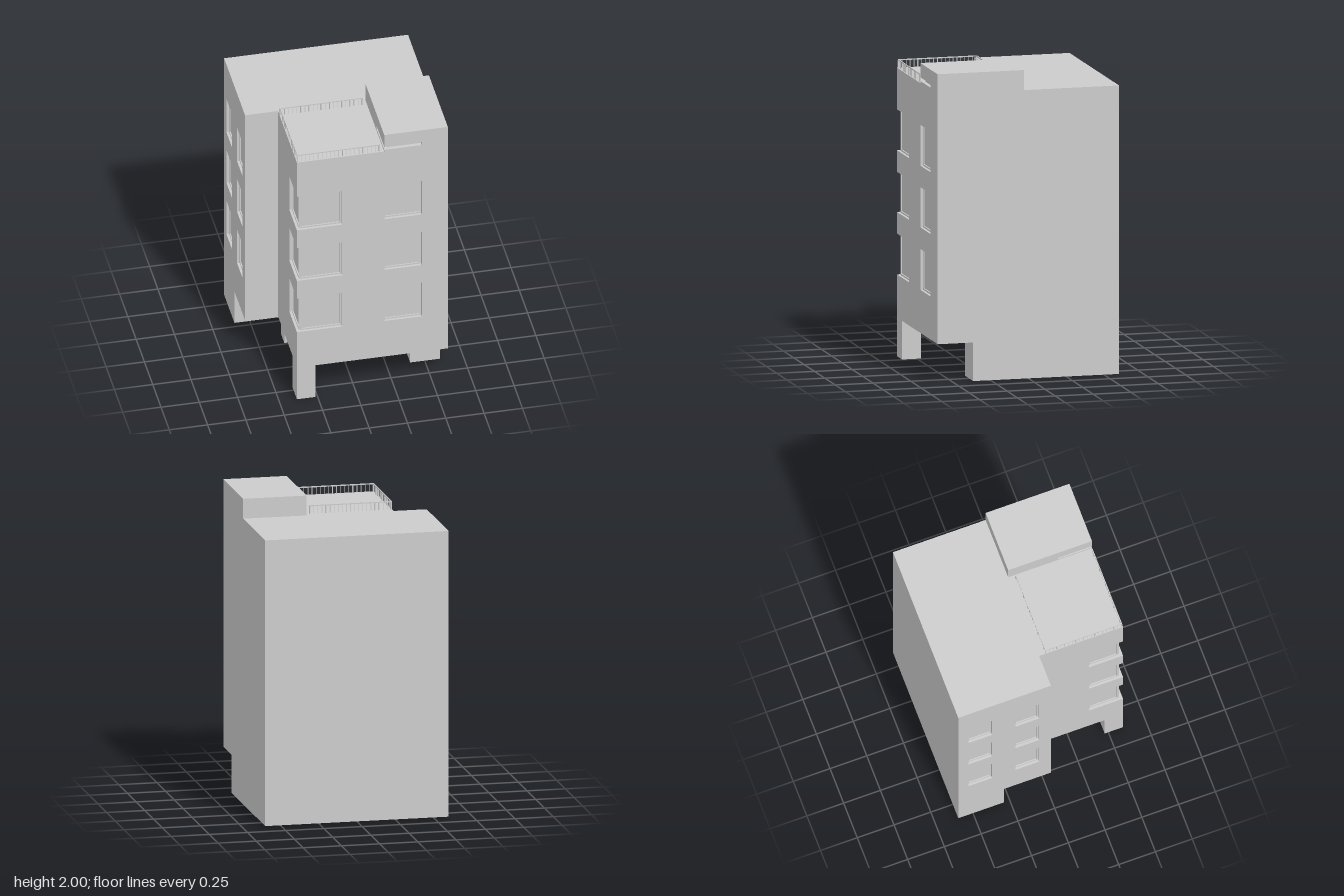
import * as THREE from 'three';

const material = new THREE.MeshStandardMaterial({ color: 0xcccccc, flatShading: true });
const ROOF = 1.87, TOP = 2, SOFFIT = 0.25;
const ROWS = [[0.53, 0.795], [0.935, 1.195], [1.335, 1.6]];
const D = 0.025; // window recess depth

function add(group, geometry, name) {
  const mesh = new THREE.Mesh(geometry, material);
  mesh.name = name;
  group.add(mesh);
  return mesh;
}

// Upright prism from a plan outline of [x, z] points
function storey(group, name, plan, y0, y1) {
  const shape = new THREE.Shape(plan.map(([x, z]) => new THREE.Vector2(x, -z)));
  const geometry = new THREE.ExtrudeGeometry(shape, { depth: y1 - y0, bevelEnabled: false });
  geometry.rotateX(-Math.PI / 2).translate(0, y0, 0);
  return add(group, geometry, name);
}

// Box given by its limits
function block(group, name, x0, x1, y0, y1, z0, z1) {
  const geometry = new THREE.BoxGeometry(x1 - x0, y1 - y0, z1 - z0);
  geometry.translate((x0 + x1) / 2, (y0 + y1) / 2, (z0 + z1) / 2);
  return add(group, geometry, name);
}

// Plan of a solid band, and of a band recessed at its windows
const SOLID = [[-0.6, -0.6], [0.6, -0.6], [0.6, 0.6], [-0.385, 0.6], [-0.385, 0.03], [-0.6, 0.03]];
const SIDE_WINDOWS = [[-0.53, -0.37], [-0.21, -0.05]];
const WINDOWED = [
  [-0.6, -0.6], [0.6, -0.6], [0.6, 0.6],
  [0.43, 0.6], [0.43, 0.6 - D], [0.185, 0.6 - D], [0.185, 0.6],
  [-0.09, 0.6], [-0.09, 0.6 - D], [-0.385 + D, 0.6 - D], [-0.385 + D, 0.37], [-0.385, 0.37],
  [-0.385, 0.03], [-0.6, 0.03],
  ...SIDE_WINDOWS.slice().reverse().flatMap(([a, b]) =>
    [[-0.6, b], [-0.6 + D, b], [-0.6 + D, a], [-0.6, a]]),
];

// Thin rim round a recessed pane; u runs along x (front) or z (side)
function windowFrame(group, axis, u0, u1, y0, y1, wall) {
  const w = 0.01, t = 0.008;
  const frame = new THREE.Group();
  frame.name = 'windowFrame';
  const bar = (a, b, c, d) => axis === 'x'
    ? block(frame, 'frameBar', a, b, c, d, wall, wall + t)
    : block(frame, 'frameBar', wall - t, wall, c, d, a, b);
  bar(u0, u0 + w, y0, y1);
  bar(u1 - w, u1, y0, y1);
  bar(u0 + w, u1 - w, y0, y0 + w);
  bar(u0 + w, u1 - w, y1 - w, y1);
  group.add(frame);
}

// Straight run of railing: top rail, posts and thin balusters
function railing(group, name, start, end) {
  const run = new THREE.Group();
  run.name = name;
  const length = Math.hypot(end[0] - start[0], end[1] - start[1]);
  const rail = add(run, new THREE.BoxGeometry(length + 0.006, 0.007, 0.006), 'topRail');
  rail.position.set((start[0] + end[0]) / 2, 1.9215, (start[1] + end[1]) / 2);
  rail.rotation.y = -Math.atan2(end[1] - start[1], end[0] - start[0]);
  const count = 20;
  for (let i = 0; i <= count; i++) {
    const f = i / count, w = i % 5 === 0 ? 0.007 : 0.0035;
    const bar = add(run, new THREE.BoxGeometry(w, 0.05, w), i % 5 === 0 ? 'post' : 'baluster');
    bar.position.set(start[0] + (end[0] - start[0]) * f, ROOF + 0.025, start[1] + (end[1] - start[1]) * f);
  }
  group.add(run);
}

export function createModel() {
  const model = new THREE.Group();
  model.name = 'apartmentBuilding';

  // Open ground floor: back block with side wall, dividing wall, corner pillar
  storey(model, 'groundFloor', [
    [-0.6, -0.6], [0.6, -0.6], [0.6, 0.365], [0.405, 0.365], [0.405, -0.29], [-0.6, -0.29],
  ], 0, SOFFIT);
  block(model, 'dividingWall', -0.335, 0.405, 0, SOFFIT, -0.11, -0.01);
  block(model, 'cornerPillar', -0.385, -0.262, 0, SOFFIT, 0.475, 0.6);

  // Upper floors: solid bands alternating with window bands
  let y = SOFFIT;
  for (const [y0, y1] of ROWS) {
    storey(model, 'wallBand', SOLID, y, y0);
    storey(model, 'windowBand', WINDOWED, y0, y1);
    windowFrame(model, 'x', 0.185, 0.43, y0, y1, 0.6 - D);
    windowFrame(model, 'x', -0.385 + D, -0.09, y0, y1, 0.6 - D);
    windowFrame(model, 'z', 0.37, 0.6 - D, y0, y1, -0.385 + D);
    for (const [a, b] of SIDE_WINDOWS) windowFrame(model, 'z', a, b, y0, y1, -0.6 + D);
    y = y1;
  }
  storey(model, 'wallBand', SOLID, y, ROOF);

  // Roof room with a slit window wrapping its terrace corner
  const room = [[0.185, 0.03], [0.6, 0.03], [0.6, 0.6], [0.185, 0.6]];
  const slit = [
    [0.185, 0.03], [0.6, 0.03], [0.6, 0.6], [0.43, 0.6], [0.43, 0.6 - D],
    [0.185 + D, 0.6 - D], [0.185 + D, 0.37], [0.185, 0.37],
  ];
  storey(model, 'roofRoom', room, ROOF, 1.883);
  storey(model, 'roofRoomSlit', slit, 1.883, 1.907);
  storey(model, 'roofRoom', room, 1.907, TOP);

  // Terrace railing on three sides
  railing(model, 'frontRailing', [-0.379, 0.592], [0.155, 0.592]);
  railing(model, 'sideRailing', [-0.379, 0.075], [-0.379, 0.592]);
  railing(model, 'backRailing', [-0.379, 0.075], [0.155, 0.075]);

  return model;
}
